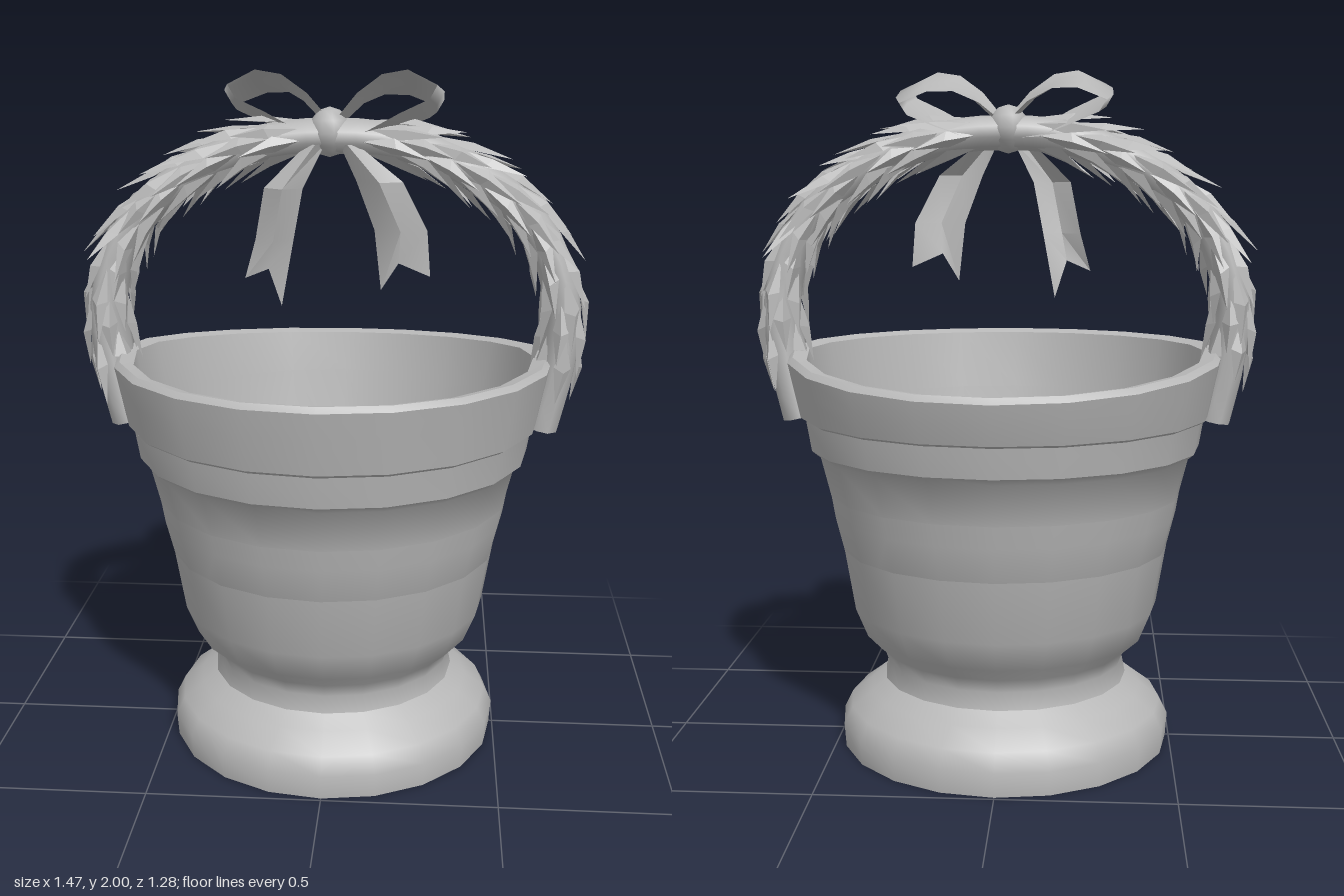
import * as THREE from 'three';
import { toCreasedNormals } from 'three/addons/utils/BufferGeometryUtils.js';

const V2 = (x, y) => new THREE.Vector2(x, y);
const stone = new THREE.MeshStandardMaterial({ color: 0xb8b8b8, side: THREE.DoubleSide });
stone.name = 'grey stone';

function seeded(seed) {
  return () => (seed = (seed * 16807) % 2147483647) / 2147483647;
}

// Skins a list of cross-sections (arrays of Vector3)
function loft(rings, closed) {
  const n = rings[0].length, pos = [], idx = [];
  rings.forEach(r => r.forEach(p => pos.push(p.x, p.y, p.z)));
  for (let i = 0; i < rings.length - 1; i++) {
    for (let j = 0; j < (closed ? n : n - 1); j++) {
      const k = (j + 1) % n, a = i * n + j, b = i * n + k;
      idx.push(a, b, a + n, b, b + n, a + n);
    }
  }
  const g = new THREE.BufferGeometry();
  g.setAttribute('position', new THREE.Float32BufferAttribute(pos, 3));
  g.setIndex(idx);
  g.computeVertexNormals();
  return g;
}

function add(group, name, geometry) {
  const m = new THREE.Mesh(geometry, stone);
  m.name = name;
  group.add(m);
  return m;
}

// Arch centre line of the handle, left foot to right foot
const arch = new THREE.CatmullRomCurve3([
  [-0.61, 0.98], [-0.65, 1.16], [-0.66, 1.34], [-0.59, 1.54], [-0.43, 1.69], [-0.22, 1.785],
  [0, 1.81],
  [0.22, 1.785], [0.43, 1.69], [0.59, 1.54], [0.66, 1.34], [0.65, 1.16], [0.61, 0.98],
].map(p => new THREE.Vector3(p[0], p[1], 0)));

// Point on the handle: u from -1 to 1, angle around it, height above its skin
function onArch(u, angle, lift = 0) {
  const t = THREE.MathUtils.clamp((u + 1) / 2, 0, 1);
  const c = arch.getPointAt(t), d = arch.getTangentAt(t);
  const foot = THREE.MathUtils.smoothstep(Math.abs(u), 0.5, 0.85);
  const a = 0.05 + 0.005 * foot + lift, b = 0.075 + 0.03 * foot + lift;
  return new THREE.Vector3(
    c.x - d.y * a * Math.cos(angle),
    c.y + d.x * a * Math.cos(angle),
    b * Math.sin(angle));
}

function buildUrn() {
  const profile = [
    [0, 0], [0.49, 0], [0.495, 0.07], [0.47, 0.12], [0.41, 0.165], [0.365, 0.2], [0.355, 0.25],
    [0.37, 0.29], [0.42, 0.335], [0.455, 0.42], [0.485, 0.6], [0.52, 0.76], [0.55, 0.88],
    [0.575, 0.9], [0.59, 0.99], [0.605, 1.0], [0.625, 1.1], [0.64, 1.175], [0.625, 1.19],
    [0.585, 1.18], [0.56, 1.0], [0.51, 0.7], [0.455, 0.48], [0.39, 0.4], [0, 0.37],
  ].map(p => V2(p[0], p[1]));
  const g = new THREE.LatheGeometry(profile, 20);
  // The rim dips towards the back
  const p = g.attributes.position;
  for (let i = 0; i < p.count; i++) {
    const dip = Math.max(0, (-p.getZ(i) - 0.05) / 0.58);
    p.setY(i, p.getY(i) - 0.07 * dip * THREE.MathUtils.smoothstep(p.getY(i), 0.95, 1.18));
  }
  return toCreasedNormals(g, 0.7);
}

function buildHandle() {
  const rings = [];
  for (let i = 0; i <= 36; i++) {
    const u = -1 + i / 18, ring = [];
    for (let j = 0; j < 10; j++) ring.push(onArch(u, j / 10 * Math.PI * 2));
    rings.push(ring);
  }
  return loft(rings, true);
}

// Overlapping pointed leaves, tips turned away from the bow
function buildLeaves() {
  const rnd = seeded(71), pos = [];
  const tri = (...pts) => pts.forEach(p => pos.push(p.x, p.y, p.z));
  for (const side of [-1, 1]) {
    for (let row = 0; row < 11; row++) {
      const n = row < 7 ? 7 : 5;
      for (let k = 0; k < n; k++) {
        const angle = (k + (row % 2) / 2 + (rnd() - 0.5) * 0.3) / n * Math.PI * 2;
        const u = 0.06 + row * 0.07 + rnd() * 0.02;
        const len = 0.13 + rnd() * 0.05;
        const lift = (row < 7 ? 0.025 : 0.008) + rnd() * (row < 7 ? 0.03 : 0.015);
        const base = onArch(side * u, angle, -0.005);
        const l = onArch(side * (u + len * 0.45), angle - 0.42, 0.006);
        const r = onArch(side * (u + len * 0.45), angle + 0.42, 0.006);
        const mid = onArch(side * (u + len * 0.5), angle, 0.022);
        const tip = onArch(side * (u + len), angle, lift);
        const order = side > 0 ? [l, r] : [r, l];
        tri(base, mid, order[0], base, order[1], mid);
        tri(order[0], mid, tip, mid, order[1], tip);
      }
    }
  }
  const g = new THREE.BufferGeometry();
  g.setAttribute('position', new THREE.Float32BufferAttribute(pos, 3));
  g.computeVertexNormals();
  return g;
}

// One puffed ribbon loop: x, y and half width along the path
function buildLoop(side, zMid, tilt) {
  const path = [
    [0.01, 1.85, 0.03], [0.07, 1.91, 0.075], [0.14, 1.95, 0.12], [0.21, 1.955, 0.15],
    [0.29, 1.92, 0.13], [0.27, 1.885, 0.12], [0.19, 1.85, 0.11], [0.1, 1.81, 0.07], [0.01, 1.8, 0.03],
  ];
  return loft(path.map(([x, y, w]) => [-1, -0.4, 0.4, 1].map(s => new THREE.Vector3(
    side * (x + (Math.abs(s) < 1 ? 0.02 : 0)),
    y + s * w * tilt,
    zMid * Math.min(1, x * 6) + s * w))), false);
}

// Hanging ribbon end with a notched tip, creased down the middle
function buildTail(rows, tips) {
  const rings = rows.map(([x0, x1, y, z]) => [
    new THREE.Vector3(x0, y, z - 0.02),
    new THREE.Vector3((x0 + x1) / 2, y, z + 0.02),
    new THREE.Vector3(x1, y, z - 0.01),
  ]);
  rings.push(tips.map(([x, y], i) => new THREE.Vector3(x, y, 0.05 + (i === 1 ? 0.015 : 0))));
  return toCreasedNormals(loft(rings, false), 0.5);
}

export function createModel() {
  const model = new THREE.Group();
  model.name = 'flower basket';
  add(model, 'urn', buildUrn());
  add(model, 'handle', buildHandle());
  add(model, 'handleLeaves', buildLeaves());

  // Ribbon bow on top of the handle
  const bow = new THREE.Group();
  bow.name = 'bow';
  add(bow, 'leftLoop', buildLoop(1, 0.0, 0.27));
  add(bow, 'rightLoop', buildLoop(-1, -0.07, 0.25));
  add(bow, 'leftTail', buildTail(
    [[0.02, 0.07, 1.79, 0.06], [0.07, 0.2, 1.69, 0.09], [0.12, 0.27, 1.55, 0.06]],
    [[0.14, 1.38], [0.19, 1.46], [0.28, 1.42]]));
  add(bow, 'rightTail', buildTail(
    [[-0.07, -0.02, 1.79, 0.06], [-0.19, -0.08, 1.67, 0.09], [-0.22, -0.11, 1.52, 0.06]],
    [[-0.25, 1.41], [-0.18, 1.44], [-0.145, 1.33]]));
  const knot = add(bow, 'knot', new THREE.SphereGeometry(1, 10, 6));
  knot.scale.set(0.06, 0.07, 0.085);
  knot.position.set(-0.01, 1.82, 0.0);
  model.add(bow);
  return model;
}
